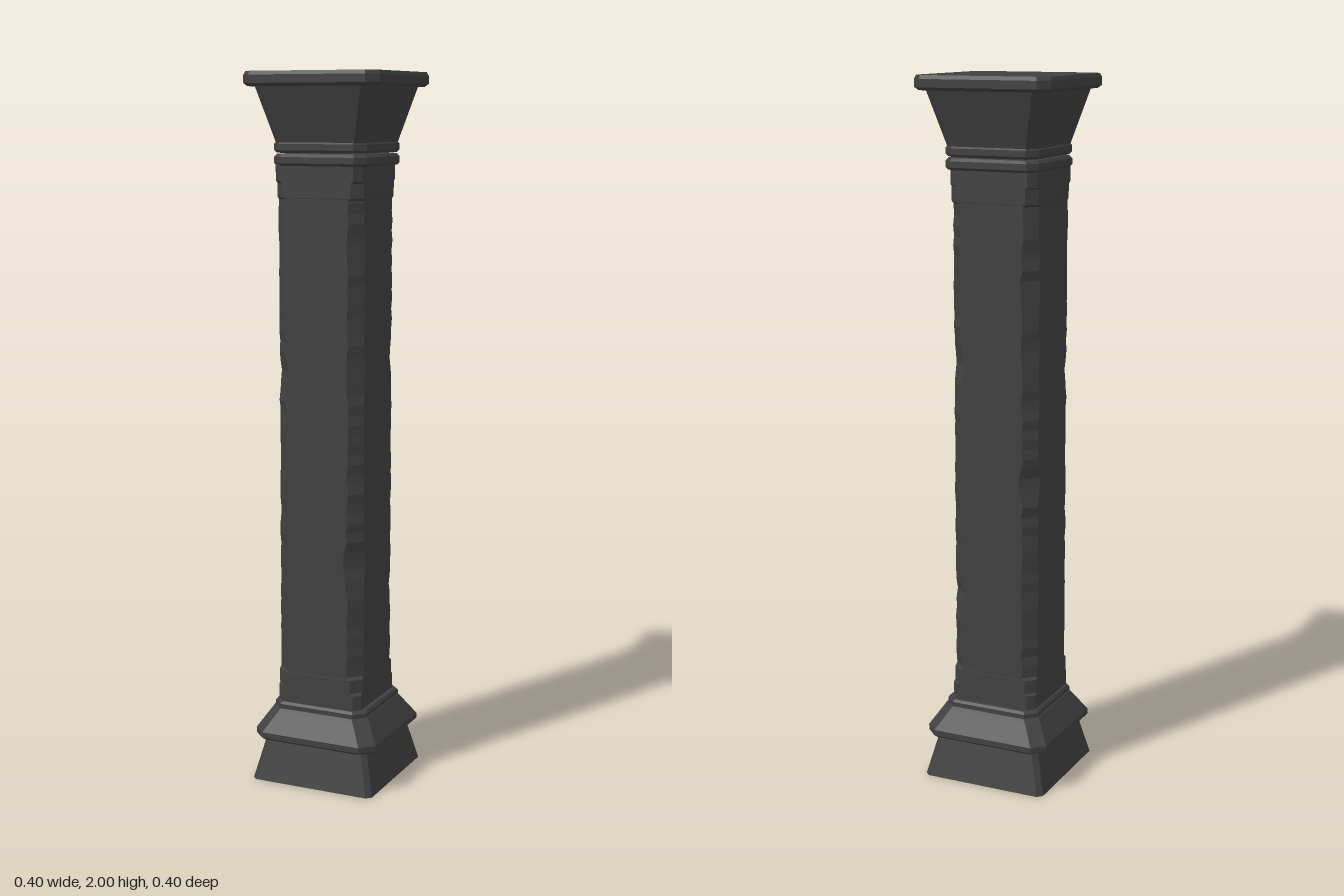
import * as THREE from 'three';

const material = new THREE.MeshStandardMaterial({ color: 0x404040, flatShading: true, roughness: 0.9 });

// Small seeded generator for the worn edges
let seed = 7;
const rand = () => (seed = (seed * 16807) % 2147483647) / 2147483647;

// Square section with four cut corners; cuts[k] is the cut of corner k
function section(y, half, cuts) {
  const ring = [];
  for (let k = 0; k < 4; k++) {
    const c = cuts[k];
    for (let [x, z] of [[half - c, half], [half, half - c]]) {
      for (let i = 0; i < k; i++) [x, z] = [z, -x];
      ring.push([x, y, z]);
    }
  }
  return ring;
}

// Skin a stack of sections and close both ends
function loft(name, rings) {
  const pos = [];
  const tri = (a, b, c) => pos.push(...a, ...b, ...c);
  const n = 8, last = rings[rings.length - 1];
  for (let r = 0; r < rings.length - 1; r++) {
    for (let i = 0; i < n; i++) {
      const j = (i + 1) % n;
      const [a, b, c, d] = [rings[r][i], rings[r][j], rings[r + 1][i], rings[r + 1][j]];
      tri(a, b, d);
      tri(a, d, c);
    }
  }
  for (let i = 1; i < n - 1; i++) {
    tri(last[0], last[i], last[i + 1]);
    tri(rings[0][0], rings[0][i + 1], rings[0][i]);
  }
  const geometry = new THREE.BufferGeometry();
  geometry.setAttribute('position', new THREE.Float32BufferAttribute(pos, 3));
  geometry.computeVertexNormals();
  const mesh = new THREE.Mesh(geometry, material);
  mesh.name = name;
  return mesh;
}

// Moulding from rows of [y, half width, corner cut], corners slightly worn
function moulding(name, rows, wear = 0) {
  const worn = [0, 1, 2, 3].map(() => rand() * wear);
  return loft(name, rows.map(([y, h, c]) => section(y, h, worn.map(w => c + w))));
}

function shaft() {
  // Larger chips: [corner, height, extra cut, half length]
  const chips = [
    [3, 1.18, 0.014, 0.04], [0, 0.66, 0.012, 0.09], [1, 1.22, 0.014, 0.07],
    [1, 0.55, 0.01, 0.04], [2, 0.9, 0.012, 0.06], [2, 1.45, 0.01, 0.05],
  ];
  const rings = [], rows = 56, y0 = 0.22, y1 = 1.76;
  for (let r = 0; r <= rows; r++) {
    const y = y0 + (y1 - y0) * r / rows;
    const cuts = [0, 1, 2, 3].map(k => {
      let c = 0.035 + (rand() - 0.5) * 0.007;
      for (const [corner, cy, depth, len] of chips) {
        if (corner === k) c += depth * Math.max(0, 1 - Math.abs(y - cy) / len);
      }
      return c;
    });
    rings.push(section(y, 0.129, cuts));
  }
  return loft('shaft', rings);
}

export function createModel() {
  const group = new THREE.Group();
  group.name = 'column';

  // Tapered foot
  group.add(moulding('plinth', [[0, 0.186, 0.014], [0.125, 0.156, 0.014]]));

  // Sloped base moulding with a low step on top
  group.add(moulding('baseMoulding', [
    [0.122, 0.179, 0.03], [0.129, 0.187, 0.032], [0.145, 0.187, 0.032],
    [0.2, 0.152, 0.03], [0.21, 0.146, 0.03],
  ], 0.006));
  group.add(moulding('baseStep', [
    [0.205, 0.143, 0.026], [0.222, 0.143, 0.026], [0.229, 0.138, 0.026],
  ], 0.005));

  // Shaft with worn chamfers and stepped stops where they end
  const body = new THREE.Group();
  body.name = 'shaftBody';
  body.position.set(-0.003, 0, 0.003);
  body.add(shaft());
  const stops = [[0.22, 0.28, 0.018], [0.27, 0.325, 0.026]];
  for (const [a, b, c] of stops) {
    body.add(moulding('lowerChamferStop', [[a, 0.1295, c], [b - 0.008, 0.1295, c], [b, 0.128, c + 0.008]], 0.003));
    const [lo, hi] = [1.98 - b, 1.98 - a];
    body.add(moulding('upperChamferStop', [[lo, 0.128, c + 0.008], [lo + 0.008, 0.1295, c], [hi, 0.1295, c]], 0.003));
  }
  group.add(body);

  // Two rounded collar rings
  for (const [y, h] of [[1.748, 0.139], [1.783, 0.138]]) {
    group.add(moulding('collarRing', [
      [y, h - 0.006, 0.022], [y + 0.007, h, 0.024], [y + 0.024, h, 0.024], [y + 0.032, h - 0.007, 0.022],
    ], 0.004));
  }

  // Flared capital
  group.add(moulding('capital', [
    [1.8, 0.132, 0.022], [1.818, 0.136, 0.022], [1.965, 0.179, 0.028],
  ], 0.005));

  // Top slab with cut corners and softened edges
  group.add(moulding('topSlab', [
    [1.96, 0.191, 0.027], [1.968, 0.2, 0.029], [1.99, 0.2, 0.029], [2, 0.195, 0.027],
  ]));

  return group;
}
